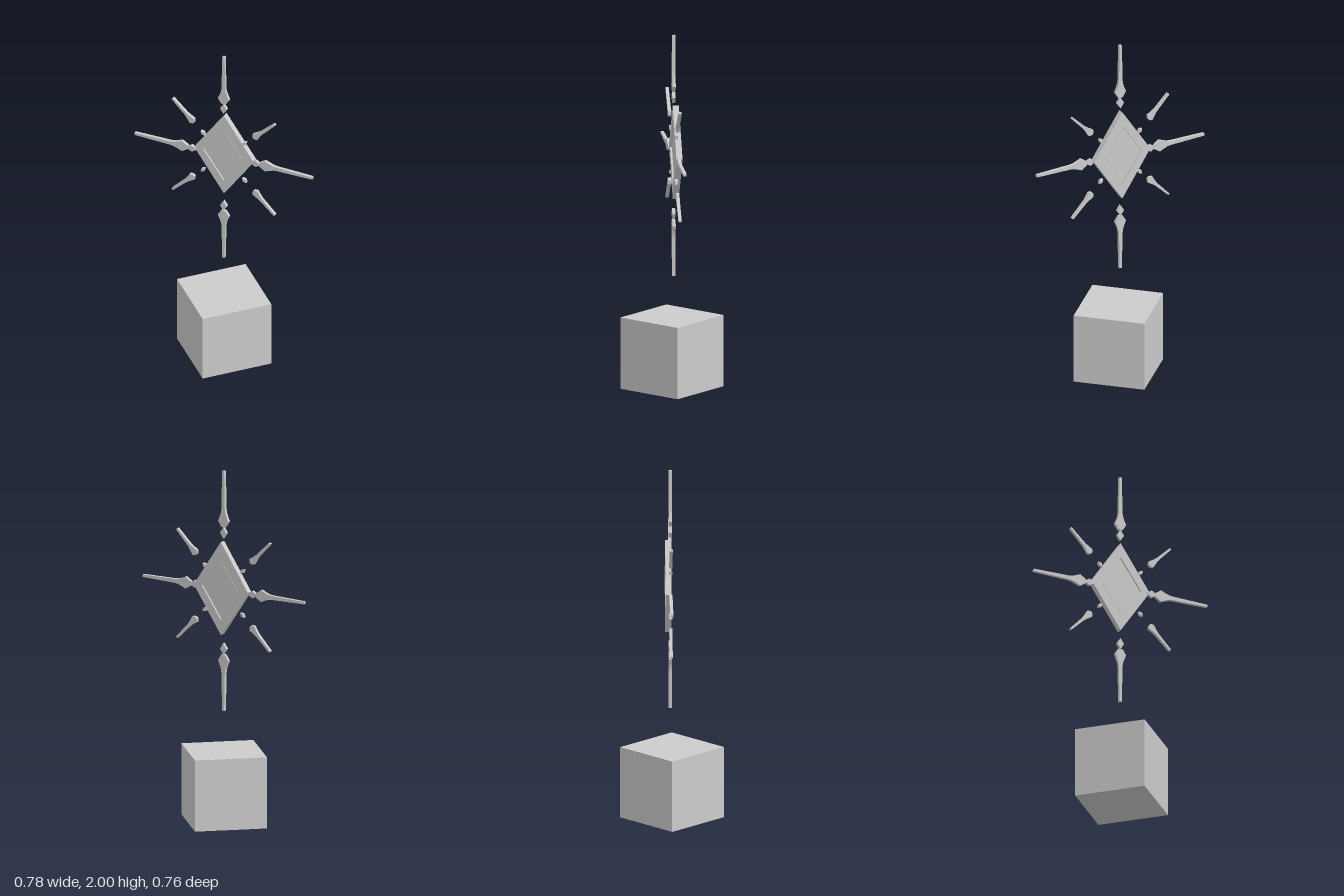
import * as THREE from 'three';

const material = new THREE.MeshStandardMaterial({ color: 0xcccccc, flatShading: true });
const THICK = 0.018;

const v = (x, y) => new THREE.Vector2(x, y);
const diamond = (w, h) => [v(w, 0), v(0, h), v(-w, 0), v(0, -h)];

// Extrude a shape, centred on its own thickness
function plate(name, shape, depth) {
  const geometry = new THREE.ExtrudeGeometry(shape, { depth, bevelEnabled: false, curveSegments: 6 });
  geometry.translate(0, 0, -depth / 2);
  const mesh = new THREE.Mesh(geometry, material);
  mesh.name = name;
  return mesh;
}

// Symmetric outline from [half width, distance] pairs, pointing up +y
function mirrored(profile) {
  const right = profile.map(([w, y]) => v(w, y));
  const left = profile.map(([w, y]) => v(-w, y)).reverse();
  return new THREE.Shape([...right, ...left]);
}

// Spear: blunt base, swollen bulb, long thin shaft
const SPEAR = [[0.012, 0], [0.034, 0.034], [0.022, 0.062], [0.014, 0.085],
  [0.011, 0.11], [0.0095, 0.2], [0.007, 0.32]];
// Short ray: small pointed club
const RAY = [[0.008, 0], [0.021, 0.014], [0.014, 0.04], [0.009, 0.065], [0.006, 0.182]];

export function createModel() {
  const group = new THREE.Group();

  // Base cube
  const cube = new THREE.Mesh(new THREE.BoxGeometry(0.405, 0.405, 0.405), material);
  cube.name = 'baseCube';
  cube.position.set(-0.003, 0.2025, 0.01);
  group.add(cube);

  // Floating star, turned diagonally above the cube
  const star = new THREE.Group();
  star.name = 'floatingStar';
  star.position.y = 1.32;
  star.rotation.y = -0.775;
  group.add(star);

  // Central diamond: frame with a sunken panel visible on both faces
  const centre = new THREE.Group();
  centre.name = 'centralDiamond';
  centre.position.set(0.002, 0.015, -0.012);
  const frameShape = new THREE.Shape(diamond(0.18, 0.265));
  frameShape.holes.push(new THREE.Path(diamond(0.125, 0.18)));
  centre.add(
    plate('diamondFrame', frameShape, 0.034),
    plate('diamondPanel', new THREE.Shape(diamond(0.126, 0.182)), 0.014),
    plate('diamondInlay', new THREE.Shape(diamond(0.105, 0.152)), 0.018)
  );
  star.add(centre);

  // Place a part at a distance along a direction measured from +y
  const place = (mesh, angle, distance, dy = 0) => {
    mesh.rotation.z = -angle;
    mesh.position.set(Math.sin(angle) * distance, Math.cos(angle) * distance + dy, 0);
    star.add(mesh);
  };

  // Four main spears, each with a small gem at its base
  const mains = [
    ['top', 0, 0.363, 0.33, -0.003],
    ['left', Math.PI / 2, 0.217, 0.193, 0.01],
    ['bottom', Math.PI, 0.363, 0.33, -0.003],
    ['right', -Math.PI / 2, 0.217, 0.193, 0.002]
  ];
  for (const [side, angle, spearAt, gemAt, dy] of mains) {
    place(plate(side + 'Spear', mirrored(SPEAR), THICK), angle, spearAt, dy);
    place(plate(side + 'Gem', new THREE.Shape(diamond(0.021, 0.032)), THICK), angle, gemAt, dy);
  }

  // Four diagonal rays with tiny gems
  for (let i = 0; i < 4; i++) {
    const angle = Math.PI / 4 + i * Math.PI / 2;
    place(plate('diagonalRay', mirrored(RAY), THICK), angle, 0.255);
    place(plate('diagonalGem', new THREE.Shape(diamond(0.011, 0.018)), THICK), angle, 0.177);
  }

  return group;
}
